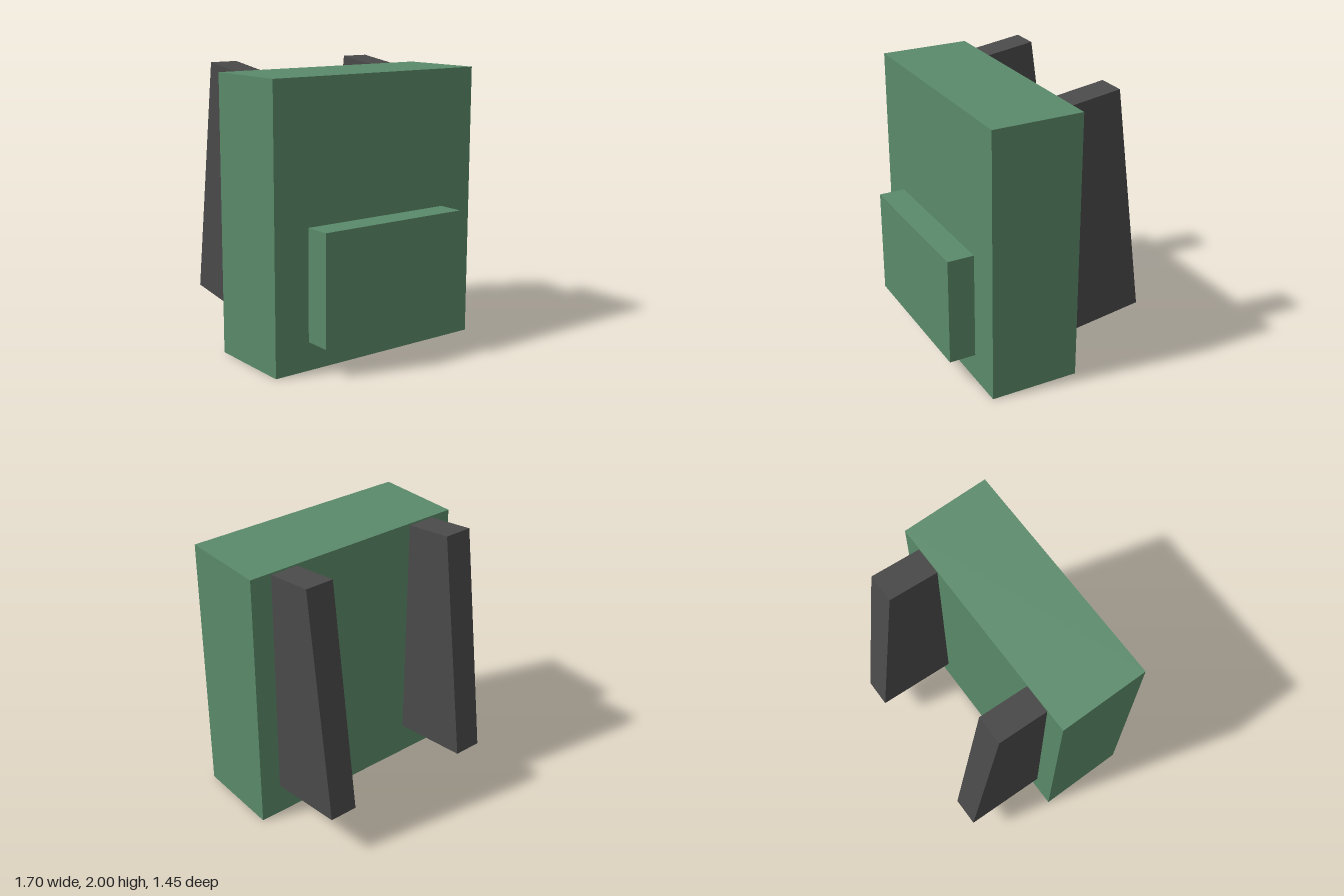
import * as THREE from 'three';

const fabric = new THREE.MeshStandardMaterial({ color: 0x5a8a6a });
const webbing = new THREE.MeshStandardMaterial({ color: 0x4a4a4a });

function box(name, size, position, material) {
  const mesh = new THREE.Mesh(new THREE.BoxGeometry(...size), material);
  mesh.name = name;
  mesh.position.set(...position);
  return mesh;
}

export function createModel() {
  const model = new THREE.Group();
  model.name = 'backpack';

  // Main bag and front pocket
  model.add(box('body', [1.7, 1.96, 0.65], [0, 0.98, 0.208], fabric));
  model.add(box('frontPocket', [1.17, 0.78, 0.26], [0, 0.59, 0.595], fabric));

  // Shoulder straps: tilted blocks sunk into the back of the bag
  const tilt = 0.14;
  const depth = 0.65;
  for (const side of [-1, 1]) {
    const y = 1.162 - Math.sin(tilt) * depth / 2;
    const z = -0.604 + Math.cos(tilt) * depth / 2;
    const name = side > 0 ? 'leftStrap' : 'rightStrap';
    const strap = box(name, [0.207, 1.69, depth], [side * 0.587, y, z], webbing);
    strap.rotation.x = tilt;
    model.add(strap);
  }
  return model;
}
